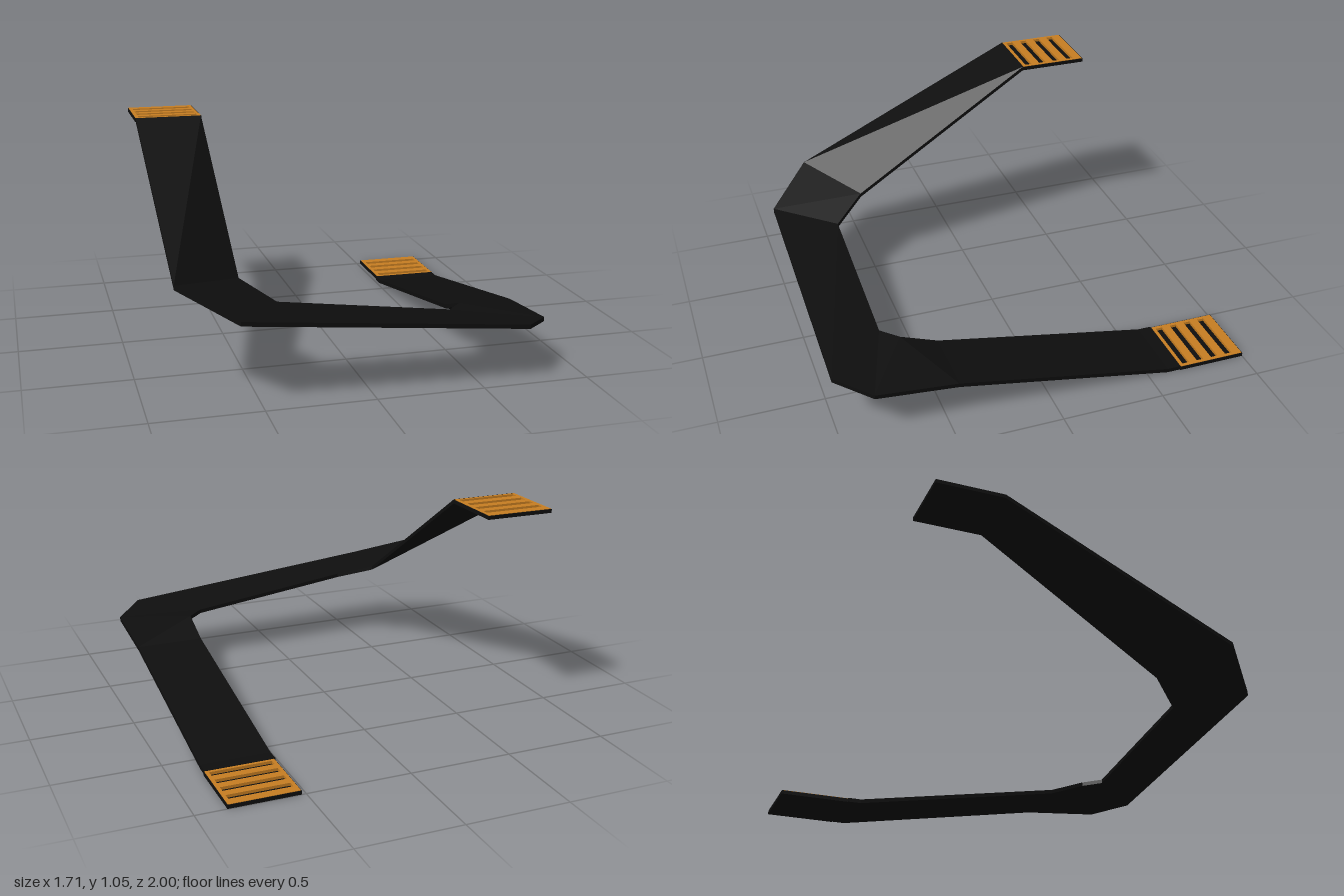
import * as THREE from 'three';

const T = 0.02; // ribbon thickness

// Stations along the folded ribbon: top of outer edge, top of inner edge
const STATIONS = [
  [[-0.855, 1.05, -0.355], [-0.525, 1.05, -0.355]],
  [[-0.845, 0.52, 0.78], [-0.52, 0.46, 0.55]],
  [[-0.6, 0.41, 1.0], [-0.38, 0.387, 0.71]],
  [[0.71, 0.28, 1.0], [0.435, 0.28, 0.71]],
  [[0.85, 0.25, 0.84], [0.515, 0.28, 0.63]],
  [[0.85, 0.213, 0.45], [0.515, 0.213, 0.45]],
  [[0.85, 0.02, -0.6], [0.515, 0.02, -0.6]],
  [[0.85, 0.02, -0.665], [0.515, 0.02, -0.665]],
];

// Sweeps a four-cornered section through the stations, with flat facets
function ribbonGeometry(stations) {
  const rings = stations.map(([o, i]) => [
    o, i, [i[0], i[1] - T, i[2]], [o[0], o[1] - T, o[2]],
  ]);
  const pos = [];
  const tri = (...pts) => pts.forEach((p) => pos.push(...p));
  for (let k = 0; k < rings.length - 1; k++) {
    for (let j = 0; j < 4; j++) {
      const a = rings[k][j], b = rings[k][(j + 1) % 4];
      const c = rings[k + 1][j], d = rings[k + 1][(j + 1) % 4];
      tri(a, c, b);
      tri(b, c, d);
    }
  }
  const s = rings[0], e = rings[rings.length - 1];
  tri(s[0], s[1], s[2]); tri(s[0], s[2], s[3]);
  tri(e[0], e[2], e[1]); tri(e[0], e[3], e[2]);
  const g = new THREE.BufferGeometry();
  g.setAttribute('position', new THREE.Float32BufferAttribute(pos, 3));
  g.computeVertexNormals();
  return g;
}

function rect(Type, cx, cy, w, h) {
  const p = new Type();
  p.moveTo(cx - w / 2, cy - h / 2);
  p.lineTo(cx + w / 2, cy - h / 2);
  p.lineTo(cx + w / 2, cy + h / 2);
  p.lineTo(cx - w / 2, cy + h / 2);
  p.closePath();
  return p;
}

// Horizontal plate from a flat shape, standing on y = 0
function plate(shape, depth) {
  return new THREE.ExtrudeGeometry(shape, { depth, bevelEnabled: false }).rotateX(-Math.PI / 2);
}

export function createModel() {
  const black = new THREE.MeshStandardMaterial({ color: 0x0e0e0e });
  black.name = 'black film';
  const copper = new THREE.MeshStandardMaterial({ color: 0xc87f22 });
  copper.name = 'copper contact';
  const model = new THREE.Group();
  model.name = 'flexCable';

  const add = (parent, name, geometry, material, y = 0) => {
    const m = new THREE.Mesh(geometry, material);
    m.name = name;
    m.position.y = y;
    parent.add(m);
  };

  add(model, 'ribbon', ribbonGeometry(STATIONS), black);

  // Contact pad: black backing and rim around a slotted copper plate
  const addPad = (name, x, y, zEnd) => {
    const W = 0.335, L = 0.335, edge = 0.003;
    const pad = new THREE.Group();
    pad.name = name;
    pad.position.set(x, y, zEnd + L / 2);
    add(pad, 'padBacking', new THREE.BoxGeometry(W, 0.006, L), black, 0.003);

    const rim = rect(THREE.Shape, 0, 0, W, L);
    rim.holes.push(rect(THREE.Path, 0, 0, W - edge * 2, L - edge * 2));
    add(pad, 'padRim', plate(rim, 0.012), black, 0.006);

    const face = rect(THREE.Shape, 0, 0, W - edge * 2, L - edge * 2);
    for (let i = 0; i < 4; i++) {
      face.holes.push(rect(THREE.Path, 0, L / 2 - 0.067 - i * 0.077, 0.295, 0.035));
    }
    add(pad, 'contactPlate', plate(face, 0.014), copper, 0.006);
    model.add(pad);
  };
  addPad('upperPad', -0.69, 1.03, -0.69);
  addPad('lowerPad', 0.6875, 0, -1);

  return model;
}
